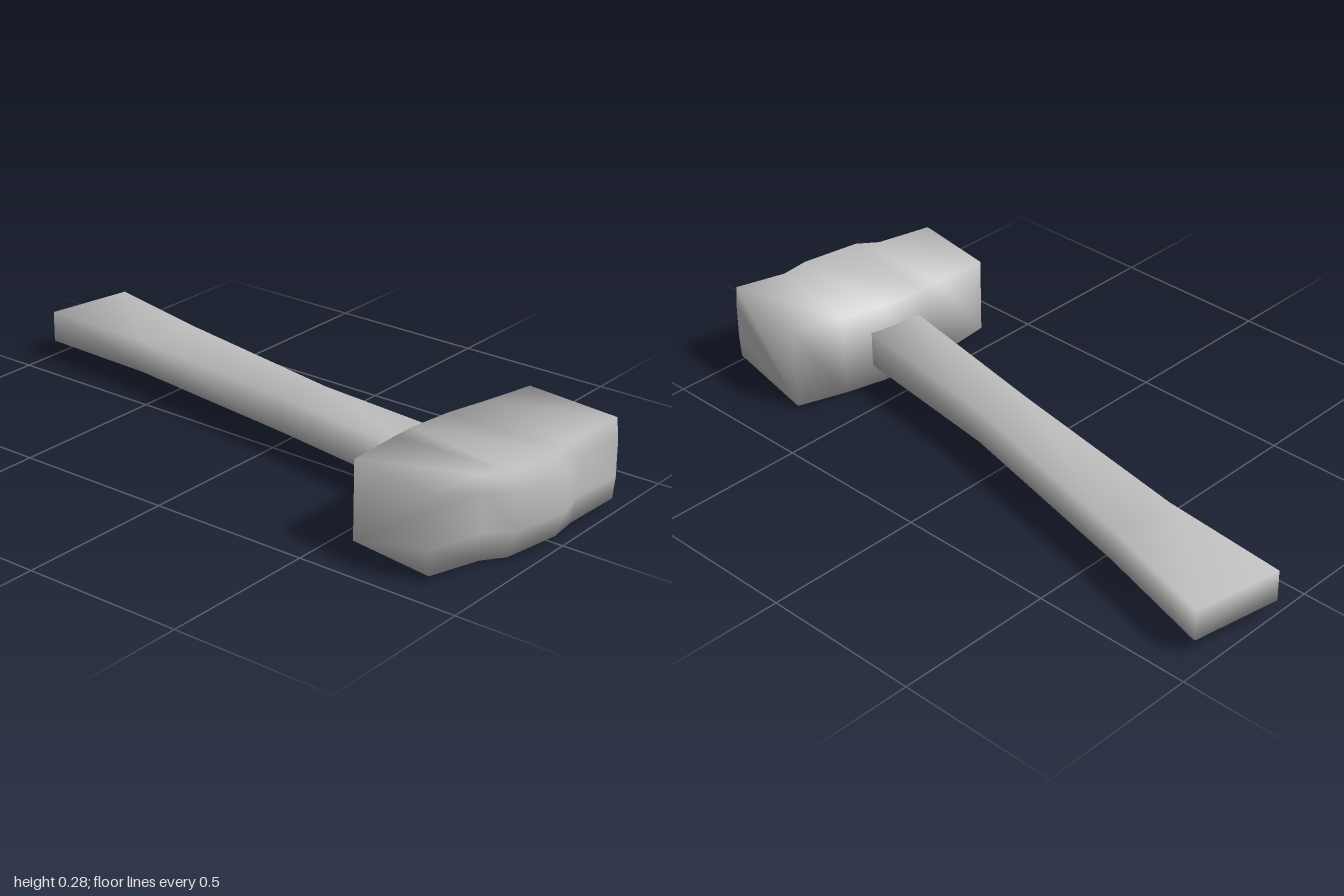
import * as THREE from 'three';

// Skin a run of equal-sized rings, each counter-clockwise about the run's direction, with closed ends
function loft(rings) {
  const n = rings[0].length, index = [];
  for (let i = 0; i < rings.length - 1; i++) {
    for (let j = 0; j < n; j++) {
      const a = i * n + j, b = i * n + (j + 1) % n;
      index.push(a, b, b + n, a, b + n, a + n);
    }
  }
  const last = (rings.length - 1) * n;
  for (let j = 1; j < n - 1; j++) {
    index.push(0, j + 1, j);
    index.push(last, last + j, last + j + 1);
  }
  const geometry = new THREE.BufferGeometry();
  geometry.setAttribute('position', new THREE.Float32BufferAttribute(rings.flat(2), 3));
  geometry.setIndex(index);
  geometry.computeVertexNormals();
  return geometry;
}

export function createModel() {
  const model = new THREE.Group();
  const grey = new THREE.MeshStandardMaterial({ color: 0xc0c0c0 });
  grey.name = 'grey';

  const add = (name, rings) => {
    const mesh = new THREE.Mesh(loft(rings), grey);
    mesh.name = name;
    model.add(mesh);
  };

  // Handle: flared at the butt, bent along its length, running into the head
  // left edge x, z, right edge x, z, bottom, top
  const handle = [
    [0.12, -1.0, 0.4, -0.95, 0.05, 0.148],
    [0.095, -0.6, 0.295, -0.57, 0.055, 0.157],
    [0.0, 0.03, 0.145, 0.08, 0.063, 0.172],
    [-0.105, 0.63, 0.07, 0.66, 0.07, 0.185],
  ];
  add('handle', handle.map(([lx, lz, rx, rz, lo, hi]) => [
    [rx, lo, rz], [rx, hi, rz], [lx, hi, lz], [lx, lo, lz],
  ]));

  // Head: block with a bulging front, swollen in the middle
  // back x, z, bottom, top; front x, middle z, corner z, bottom, top
  const head = [
    [-0.36, 0.57, 0.022, 0.262, -0.405, 0.85, 0.85, 0.026, 0.261],
    [-0.18, 0.572, 0.004, 0.267, -0.23, 0.9, 0.89, 0.015, 0.262],
    [-0.11, 0.572, 0.003, 0.267, -0.17, 0.965, 0.935, 0.015, 0.263],
    [0.04, 0.592, 0.003, 0.267, 0.015, 0.997, 0.965, 0.015, 0.263],
    [0.17, 0.625, 0.003, 0.267, 0.11, 0.97, 0.955, 0.016, 0.264],
    [0.33, 0.665, 0.012, 0.27, 0.28, 0.987, 0.98, 0.033, 0.278],
  ];
  add('head', head.map(([bx, bz, bLo, bHi, fx, midZ, z, fLo, fHi]) => [
    [bx, bLo, bz], [bx, bHi, bz],
    [fx, fHi, z], [fx, 0.215, midZ], [fx, 0.1, midZ], [fx, fLo, z],
  ]));

  return model;
}
